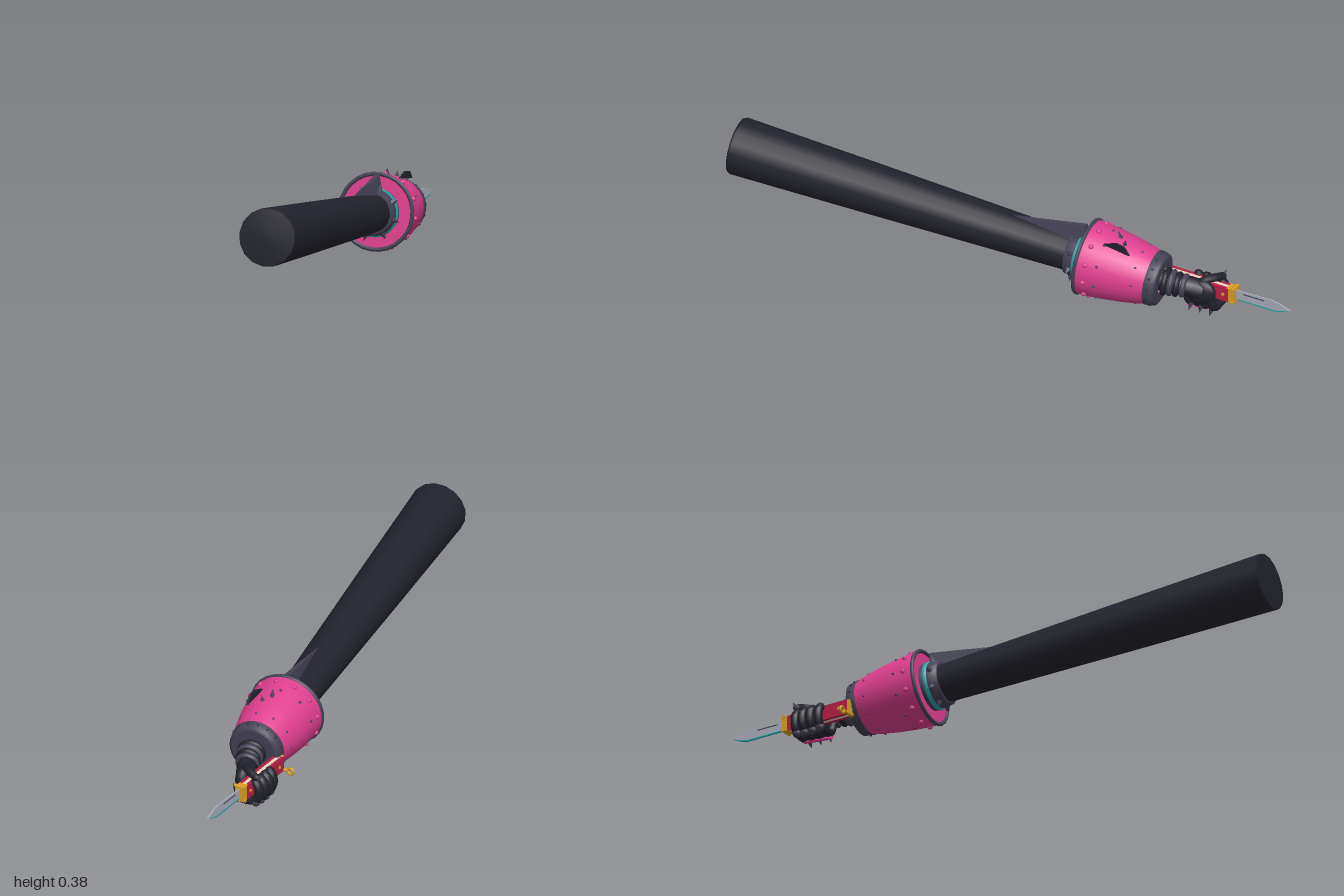
import * as THREE from 'three';
import { ConvexGeometry } from 'three/addons/geometries/ConvexGeometry.js';

const V = (x, y, z) => new THREE.Vector3(x, y, z);
const UP = V(0, 1, 0);

function mat(name, color, side = THREE.FrontSide) {
  const m = new THREE.MeshStandardMaterial({ color, side });
  m.name = name;
  return m;
}

export function createModel() {
  const root = new THREE.Group();
  root.name = 'armWithKnife';
  const black = mat('black cloth', 0x22222d);
  const grey = mat('dark grey trim', 0x454355);
  const pink = mat('pink armour', 0xdf3f8e, THREE.DoubleSide);
  const teal = mat('teal glow', 0x25a5a8);
  const red = mat('red handle', 0xb81f45);
  const gold = mat('gold fittings', 0xdca024);
  const steel = mat('steel blade', 0xa9adbb);
  const cream = mat('cream inlay', 0xe8d9c0);

  const add = (parent, name, geo, material, pos) => {
    const m = new THREE.Mesh(geo, material);
    m.name = name;
    if (pos) m.position.copy(pos);
    parent.add(m);
    return m;
  };
  const lathe = (pts, n = 24) => new THREE.LatheGeometry(pts.map(p => new THREE.Vector2(...p)), n);
  const tube = (pts, r, n = 16) =>
    new THREE.TubeGeometry(new THREE.CatmullRomCurve3(pts.map(p => V(...p))), n, r, 8);
  // cone with its base at pos, pointing along dir
  const spike = (parent, name, pos, dir, r, h, material = grey) => {
    const g = new THREE.ConeGeometry(r, h, 6).translate(0, h / 2, 0);
    add(parent, name, g, material, pos).quaternion.setFromUnitVectors(UP, dir.clone().normalize());
  };
  // group whose +y runs along the given direction
  const axisGroup = (name, pos, dir) => {
    const g = new THREE.Group();
    g.name = name;
    g.position.copy(pos);
    g.quaternion.setFromUnitVectors(UP, dir.clone().normalize());
    root.add(g);
    return g;
  };
  // flat zy outline, thickened across x
  const plate = (pts, t) => new THREE.ExtrudeGeometry(
    new THREE.Shape(pts.map(p => new THREE.Vector2(...p))), { depth: t, bevelEnabled: false })
    .translate(0, 0, -t / 2).rotateY(-Math.PI / 2);

  // long sleeve, softly closed at its far end
  const arm = axisGroup('sleeve', V(-0.046, 0.145, -0.29), V(0.132, 0.108, 1));
  add(arm, 'sleeveTube', lathe([[0.066, 0], [0.067, 0.1], [0.073, 0.29], [0.087, 0.78],
    [0.1, 1.285], [0.097, 1.293], [0, 1.296]], 16), black);

  // ridge along the top of the sleeve
  add(root, 'sleeveRidge', new ConvexGeometry([V(-0.008, 0.25, -0.02), V(-0.006, 0.235, -0.02),
    V(-0.058, 0.21, -0.28), V(-0.02, 0.21, -0.28), V(-0.051, 0.274, -0.28), V(-0.033, 0.274, -0.28)])
    , grey);

  // collar between sleeve and cuff
  const cuff = axisGroup('cuff', V(-0.047, 0.147, -0.283), V(-0.115, -0.1, -1));
  add(cuff, 'collar', lathe([[0.066, -0.062], [0.078, -0.062], [0.081, -0.03], [0.081, -0.024]]), grey);
  add(cuff, 'tealRing', lathe([[0.078, -0.028], [0.085, -0.028], [0.085, -0.014], [0.078, -0.014]]), teal);
  add(cuff, 'collarBase', lathe([[0.078, -0.014], [0.082, -0.014], [0.082, 0.004]]), grey);
  for (let i = 0; i < 8; i++) {
    const a = (i + 0.5) / 8 * Math.PI * 2, d = V(Math.sin(a), 0, Math.cos(a));
    spike(cuff, 'collarSpike', d.clone().multiplyScalar(0.076).setY(-0.04), d, 0.012, 0.025);
  }

  // flared pink cuff
  const profile = [[0.13, 0], [0.129, 0.03], [0.123, 0.09], [0.114, 0.15], [0.102, 0.21], [0.09, 0.25]];
  const radiusAt = y => {
    const i = Math.max(1, profile.findIndex(p => p[1] >= y));
    const [a, b] = [profile[i - 1], profile[i]];
    return a[0] + (b[0] - a[0]) * (y - a[1]) / (b[1] - a[1]);
  };
  add(cuff, 'cuffFace', lathe([[0.06, 0], [0.13, 0]], 28), pink);
  add(cuff, 'cuffBody', lathe(profile, 28), pink);
  add(cuff, 'cuffRim', new THREE.TorusGeometry(0.129, 0.007, 8, 28).rotateX(Math.PI / 2), grey);
  add(cuff, 'cuffBand', lathe([[0.088, 0.238], [0.097, 0.24], [0.091, 0.272], [0.08, 0.277]], 28), grey);
  add(cuff, 'cuffEnd', lathe([[0.081, 0.277], [0.045, 0.277]], 28), grey);

  // studs and rivets round the cuff
  const studs = (name, n, y, r, size, material, turn) => {
    for (let i = 0; i < n; i++) {
      const a = (i + turn) / n * Math.PI * 2;
      add(cuff, name, new THREE.SphereGeometry(size, 8, 6), material,
        V(Math.sin(a) * r, y, Math.cos(a) * r));
    }
  };
  studs('rimStud', 12, 0.035, radiusAt(0.035), 0.009, pink, 0.5);
  studs('cuffRivet', 10, 0.075, radiusAt(0.075), 0.005, grey, 0);
  studs('rearRivet', 10, 0.2, radiusAt(0.2), 0.004, grey, 0.5);
  studs('bandRivet', 16, 0.255, 0.094, 0.004, black, 0);

  // small crest and barbs on top of the cuff
  add(root, 'cuffCrest', plate([[-0.37, 0.25], [-0.42, 0.268], [-0.45, 0.262], [-0.47, 0.235]], 0.008), black);
  spike(root, 'cuffBarb', V(-0.06, 0.245, -0.405), V(0.1, 1, 0.3), 0.011, 0.036);
  spike(root, 'cuffBarb', V(-0.04, 0.24, -0.43), V(0.2, 1, -0.2), 0.009, 0.028);

  // ribbed wrist
  add(root, 'wrist', tube([[-0.075, 0.122, -0.54], [-0.085, 0.118, -0.59], [-0.105, 0.108, -0.64],
    [-0.125, 0.095, -0.68]], 0.036), black);
  const wristRings = [[-0.078, 0.12, -0.568, 0.041], [-0.083, 0.118, -0.588, 0.038],
    [-0.089, 0.115, -0.608, 0.035], [-0.098, 0.111, -0.628, 0.033]];
  wristRings.forEach(([x, y, z, r], i) => {
    const g = axisGroup('wristRing', V(x, y, z), V(-0.25, -0.15, -1));
    add(g, 'ring', new THREE.TorusGeometry(r, 0.01, 8, 18).rotateX(Math.PI / 2), i % 2 ? grey : black);
  });

  // fist closed round the handle from below
  const palm = add(root, 'palm', new THREE.SphereGeometry(1, 16, 12), black, V(-0.123, 0.088, -0.675));
  palm.scale.set(0.028, 0.05, 0.06);
  palm.rotation.x = 0.25;
  for (let i = 0; i < 4; i++) {
    const z = -0.632 - i * 0.031, k = i === 0 || i === 3 ? 0.004 : 0;
    add(root, 'finger', tube([[-0.115, 0.085, z + 0.005], [-0.128, 0.038, z], [-0.16, 0.03 + k, z],
      [-0.19, 0.037 + k, z], [-0.206 + k, 0.065, z], [-0.203 + k, 0.098, z], [-0.187, 0.11, z]], 0.0155), black);
    add(root, 'fingertip', new THREE.SphereGeometry(0.0155, 8, 6), black, V(-0.187, 0.11, z));
    add(root, 'knuckle', new THREE.SphereGeometry(0.017, 8, 6), grey, V(-0.19, 0.032 + k, z));
  }
  add(root, 'thumb', tube([[-0.115, 0.105, -0.66], [-0.13, 0.135, -0.69], [-0.16, 0.137, -0.715],
    [-0.19, 0.128, -0.725]], 0.014), black);
  add(root, 'thumbTip', new THREE.SphereGeometry(0.014, 8, 6), black, V(-0.19, 0.128, -0.725));
  spike(root, 'thumbSpike', V(-0.196, 0.125, -0.725), V(-0.8, 0.7, 0), 0.01, 0.024);
  for (const z of [-0.64, -0.68, -0.72])
    spike(root, 'knuckleSpike', V(-0.124, 0.033, z), V(0.5, -1, 0.1), 0.011, 0.028);
  const guard = add(root, 'handPlate', new THREE.BoxGeometry(0.03, 0.008, 0.1), pink, V(-0.138, 0.017, -0.672));
  guard.rotation.set(0.1, 0, 0.6);

  // folding knife handle
  const kx = -0.165, ky = 0.088;
  add(root, 'handleCore', new THREE.BoxGeometry(0.016, 0.05, 0.24), cream, V(kx, ky, -0.65));
  for (const s of [-1, 1]) {
    add(root, 'handleScale', new THREE.BoxGeometry(0.011, 0.052, 0.24), red, V(kx + s * 0.0125, ky, -0.65));
    for (const z of [-0.56, -0.75])
      add(root, 'handlePin', new THREE.CylinderGeometry(0.006, 0.006, 0.004, 10).rotateZ(Math.PI / 2),
        gold, V(kx + s * 0.019, ky, z));
  }
  add(root, 'bolster', new THREE.BoxGeometry(0.034, 0.054, 0.03), gold, V(kx, ky, -0.777));
  for (const y of [0.064, 0.114])
    add(root, 'crossBar', new THREE.CylinderGeometry(0.006, 0.006, 0.044, 8).rotateZ(Math.PI / 2),
      gold, V(kx, y, -0.785));

  // gold pommel with a side ring
  add(root, 'pommel', new THREE.BoxGeometry(0.026, 0.054, 0.012), gold, V(kx, ky, -0.527));
  add(root, 'pommelBar', new THREE.CylinderGeometry(0.006, 0.006, 0.05, 8).rotateZ(Math.PI / 2),
    gold, V(-0.175, 0.066, -0.53));
  add(root, 'pommelRing', new THREE.TorusGeometry(0.011, 0.0045, 8, 16), gold, V(-0.209, 0.066, -0.53));

  // pointed blade with a teal cutting edge
  add(root, 'blade', plate([[-0.785, 0.074], [-0.785, 0.108], [-0.93, 0.111], [-0.965, 0.105],
    [-1, 0.091], [-0.97, 0.079], [-0.94, 0.073]], 0.005), steel);
  add(root, 'bladeEdge', plate([[-0.8, 0.071], [-0.8, 0.075], [-0.94, 0.075], [-0.97, 0.081],
    [-0.998, 0.091], [-0.97, 0.077], [-0.94, 0.07]], 0.006), teal);
  add(root, 'bladeGroove', new THREE.BoxGeometry(0.006, 0.004, 0.08), grey, V(kx + 0.165 - 0.0001, 0.1, -0.86))
    .position.x = 0;

  // knife blade parts sit on the handle's centre line
  for (const name of ['blade', 'bladeEdge', 'bladeGroove']) root.getObjectByName(name).position.x = kx;
  return root;
}
